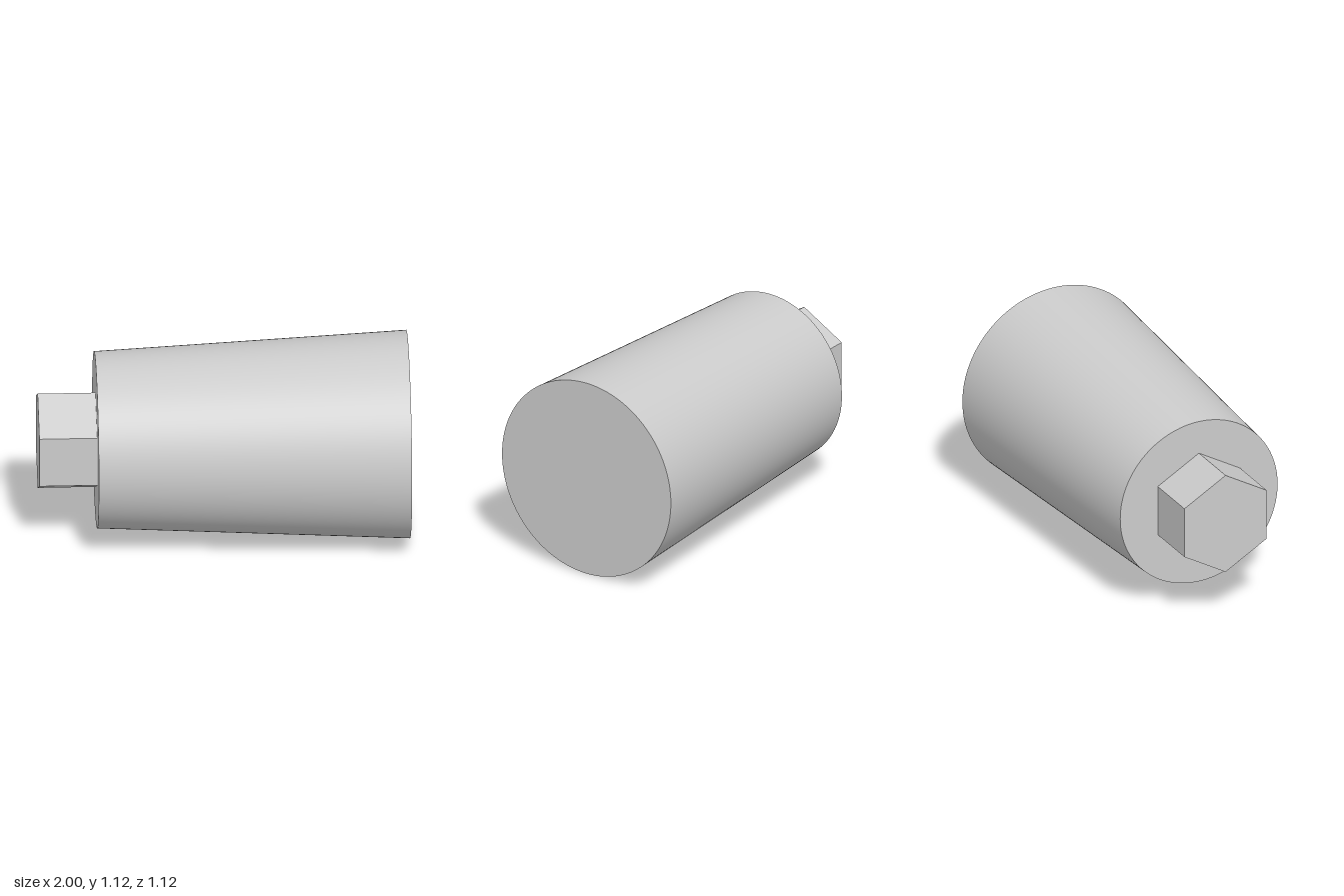
import * as THREE from 'three';

const AXIS_Y = 0.5625;

// Round or prismatic section lying along x, from x0 to x1
function section(name, x0, x1, r0, r1, sides, flatShading) {
  const geometry = new THREE.CylinderGeometry(r1, r0, x1 - x0, sides, 1, false, Math.PI / 2);
  geometry.rotateZ(-Math.PI / 2);
  const material = new THREE.MeshStandardMaterial({ color: 0xcccccc, flatShading });
  const mesh = new THREE.Mesh(geometry, material);
  mesh.name = name;
  mesh.position.set((x0 + x1) / 2, AXIS_Y, 0);
  return mesh;
}

export function createModel() {
  const model = new THREE.Group();
  model.name = 'taperedPlug';

  // Smooth tapered body, widest at +x
  model.add(section('taperedBody', -0.6875, 1, 0.478, 0.5625, 128, false));

  // Hexagonal drive head with corners at top and bottom
  const hexRadius = 0.25 / Math.cos(Math.PI / 6);
  model.add(section('hexHead', -1, -0.6875, hexRadius, hexRadius, 6, true));

  return model;
}
